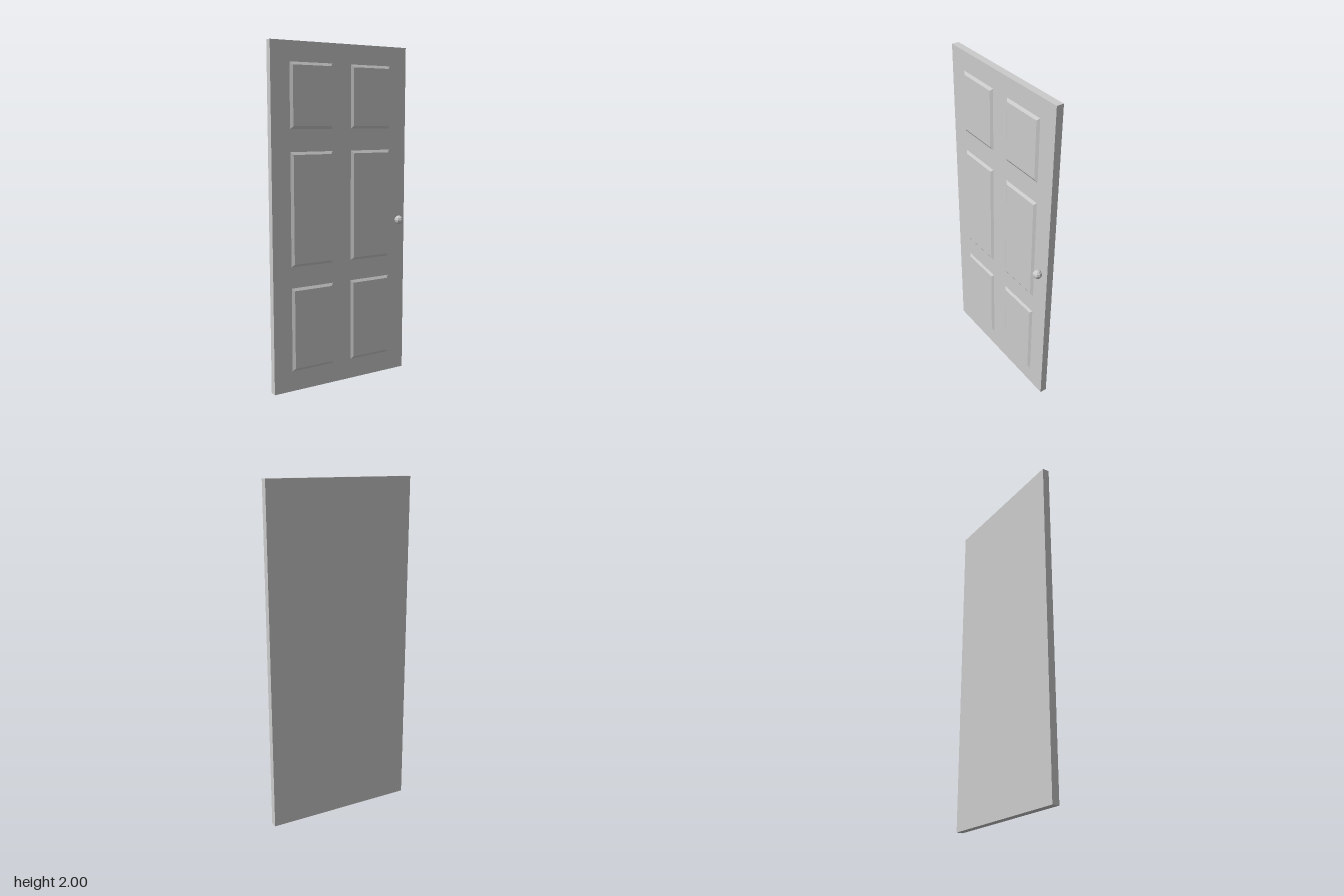
import * as THREE from 'three';

const material = new THREE.MeshStandardMaterial({ color: 0xcccccc, flatShading: true });

const SLAB_BACK = -0.047, SLAB_FRONT = -0.005;
const PANEL_FRONT = 0.005, BEVEL = 0.016;

function addMesh(parent, name, geometry, x, y, z) {
  const mesh = new THREE.Mesh(geometry, material);
  mesh.name = name;
  mesh.position.set(x, y, z);
  parent.add(mesh);
}

// Box whose front face is drawn in on every side to form a bevelled raised panel
function raisedPanel(width, height, depth) {
  const geometry = new THREE.BoxGeometry(width, height, depth);
  const p = geometry.attributes.position;
  for (let i = 0; i < p.count; i++) {
    if (p.getZ(i) < 0) continue;
    p.setX(i, p.getX(i) - Math.sign(p.getX(i)) * BEVEL);
    p.setY(i, p.getY(i) - Math.sign(p.getY(i)) * BEVEL);
  }
  geometry.computeVertexNormals();
  return geometry;
}

export function createModel() {
  const door = new THREE.Group();
  door.name = 'door';

  // Door slab
  const thickness = SLAB_FRONT - SLAB_BACK;
  addMesh(door, 'slab', new THREE.BoxGeometry(0.906, 2, thickness), 0, 1, (SLAB_FRONT + SLAB_BACK) / 2);

  // Three rows of raised panels, mirrored left and right
  const rows = [
    ['bottom', 0.12, 0.615],
    ['middle', 0.738, 1.393],
    ['top', 1.52, 1.887],
  ];
  const depth = PANEL_FRONT - SLAB_FRONT;
  for (const [row, low, high] of rows) {
    for (const side of [-1, 1]) {
      addMesh(door, `${row}${side > 0 ? 'Left' : 'Right'}Panel`, raisedPanel(0.275, high - low, depth),
        side * 0.199, (low + high) / 2, (SLAB_FRONT + PANEL_FRONT) / 2);
    }
  }

  // Faceted round knob
  addMesh(door, 'knob', new THREE.SphereGeometry(0.027, 8, 6), 0.398, 0.96, 0.02);

  return door;
}
